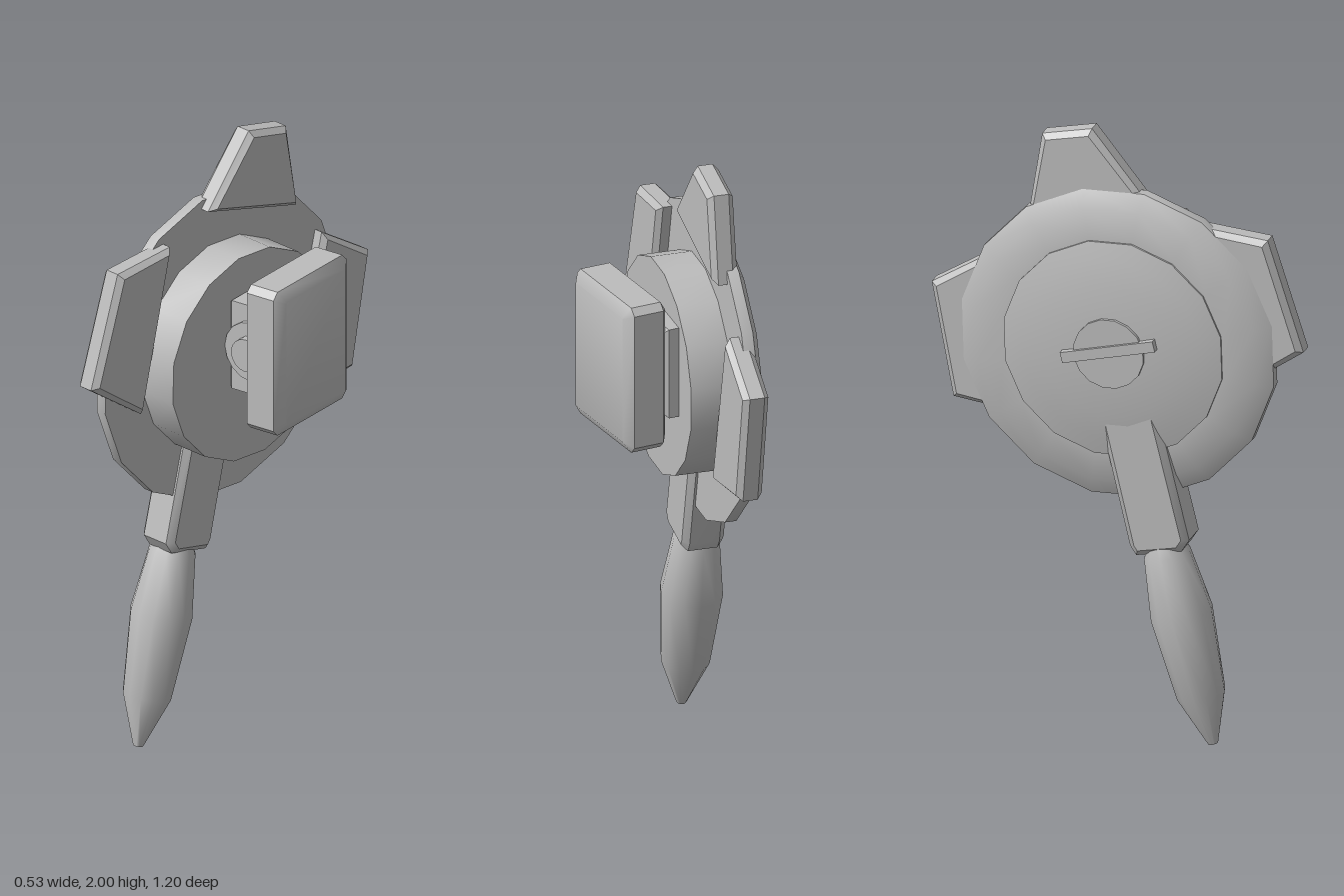
import * as THREE from 'three';
import { toCreasedNormals } from 'three/addons/utils/BufferGeometryUtils.js';

const TILT = -0.162; // yaw of the disc assembly

export function createModel() {
  const model = new THREE.Group();
  model.name = 'bladedDiscDevice';
  const grey = new THREE.MeshStandardMaterial({ color: 0xbcbcbc });
  grey.name = 'plain grey';

  const add = (parent, name, geometry) => {
    const mesh = new THREE.Mesh(toCreasedNormals(geometry, 0.6), grey);
    mesh.name = name;
    parent.add(mesh);
    return mesh;
  };
  const vectors = (points) => points.map(([x, y]) => new THREE.Vector2(x, y));

  // Plate with chamfered edges: outline in (z, y), thickness from x0 to x1
  const plate = (outline, x0, x1, bevel, bevelDepth = bevel) => {
    const shape = new THREE.Shape(vectors(outline.map(([z, y]) => [-z, y])));
    const g = new THREE.ExtrudeGeometry(shape, {
      depth: x1 - x0 - 2 * bevelDepth, bevelEnabled: true, bevelSegments: 1,
      bevelSize: bevel, bevelOffset: -bevel, bevelThickness: bevelDepth,
    });
    return g.translate(0, 0, x0 + bevelDepth).rotateY(Math.PI / 2);
  };

  // Disc assembly: its axis runs along the local x axis
  const disc = new THREE.Group();
  disc.name = 'discAssembly';
  disc.rotation.y = TILT;
  model.add(disc);

  // Turned part around the disc axis, profile as (radius, x)
  const turned = (profile, sides = 16) =>
    new THREE.LatheGeometry(vectors(profile), sides, THREE.MathUtils.degToRad(9.5))
      .rotateZ(-Math.PI / 2).translate(0, 1.3, 0.022);

  add(disc, 'shieldRing', turned([
    [0.34, -0.166], [0.37, -0.166], [0.46, -0.15], [0.515, -0.122], [0.515, -0.085], [0, -0.085],
  ]));
  add(disc, 'shieldDome', turned([
    [0, -0.21], [0.12, -0.209], [0.22, -0.2], [0.3, -0.187], [0.36, -0.173], [0.36, -0.155],
  ]));
  add(disc, 'drum', turned([[0.35, -0.09], [0.35, 0.049], [0, 0.049]]));
  add(disc, 'hub', turned([[0, -0.22], [0.115, -0.22], [0.115, -0.19]]));

  // Raised bar across the hub
  const bar = add(disc, 'hubBar', new THREE.BoxGeometry(0.045, 0.035, 0.31));
  bar.position.set(-0.208, 1.31, 0.022);
  bar.rotation.x = -0.238;

  // Three tapered fins around the rim
  const flat = (points) => points.map(([z, y]) => [(z + 0.013) / 0.987, y]);
  const fins = {
    topFin: [[0.095, 1.78], [-0.285, 1.68], [-0.24, 1.965], [-0.08, 2.0]],
    frontFin: [[0.26, 1.715], [0.385, 1.185], [0.6, 1.335], [0.485, 1.695]],
    backFin: [[-0.395, 1.55], [-0.265, 1.015], [-0.525, 1.05], [-0.595, 1.425]],
  };
  for (const [name, outline] of Object.entries(fins)) {
    add(disc, name, plate(flat(outline), -0.122, -0.038, 0.018));
  }

  // Arm holding the lower spike
  add(disc, 'arm', plate(flat([
    [0.15, 1.12], [-0.035, 1.08], [0.065, 0.65], [0.085, 0.62], [0.23, 0.65], [0.255, 0.69],
  ]), -0.195, -0.058, 0.02));

  // Spindle-shaped spike, turned from the tip upward
  const spike = add(disc, 'spike', new THREE.LatheGeometry(vectors([
    [0, 0], [0.016, 0.004], [0.078, 0.17], [0.1, 0.44], [0.075, 0.64], [0.045, 0.71], [0, 0.72],
  ]), 12));
  spike.position.set(-0.135, 0, 0.338);
  spike.rotation.x = -0.238;

  // Bracket and hinge between drum and back block
  const bracket = add(model, 'bracket', plate([
    [-0.19, 1.22], [0.13, 1.22], [0.13, 1.52], [-0.19, 1.52],
  ], 0.025, 0.13, 0.015));
  bracket.position.z = 0;
  for (const [name, radius, z0, z1] of [['hinge', 0.1, -0.17, 0.145], ['hingePin', 0.055, -0.18, 0.175]]) {
    const g = new THREE.CylinderGeometry(radius, radius, z1 - z0, 16).rotateX(Math.PI / 2);
    add(model, name, g).position.set(0.125, 1.37, (z0 + z1) / 2);
  }

  // Chamfered back block
  const [w, h, c] = [0.193, 0.245, 0.022];
  const corners = [
    [-w + c, -h], [w - c, -h], [w, -h + c], [w, h - c], [w - c, h], [-w + c, h], [-w, h - c], [-w, -h + c],
  ];
  add(model, 'backBlock', plate(corners, 0.115, 0.265, 0.036, 0.024)).position.set(0, 1.37, -0.007);

  return model;
}
